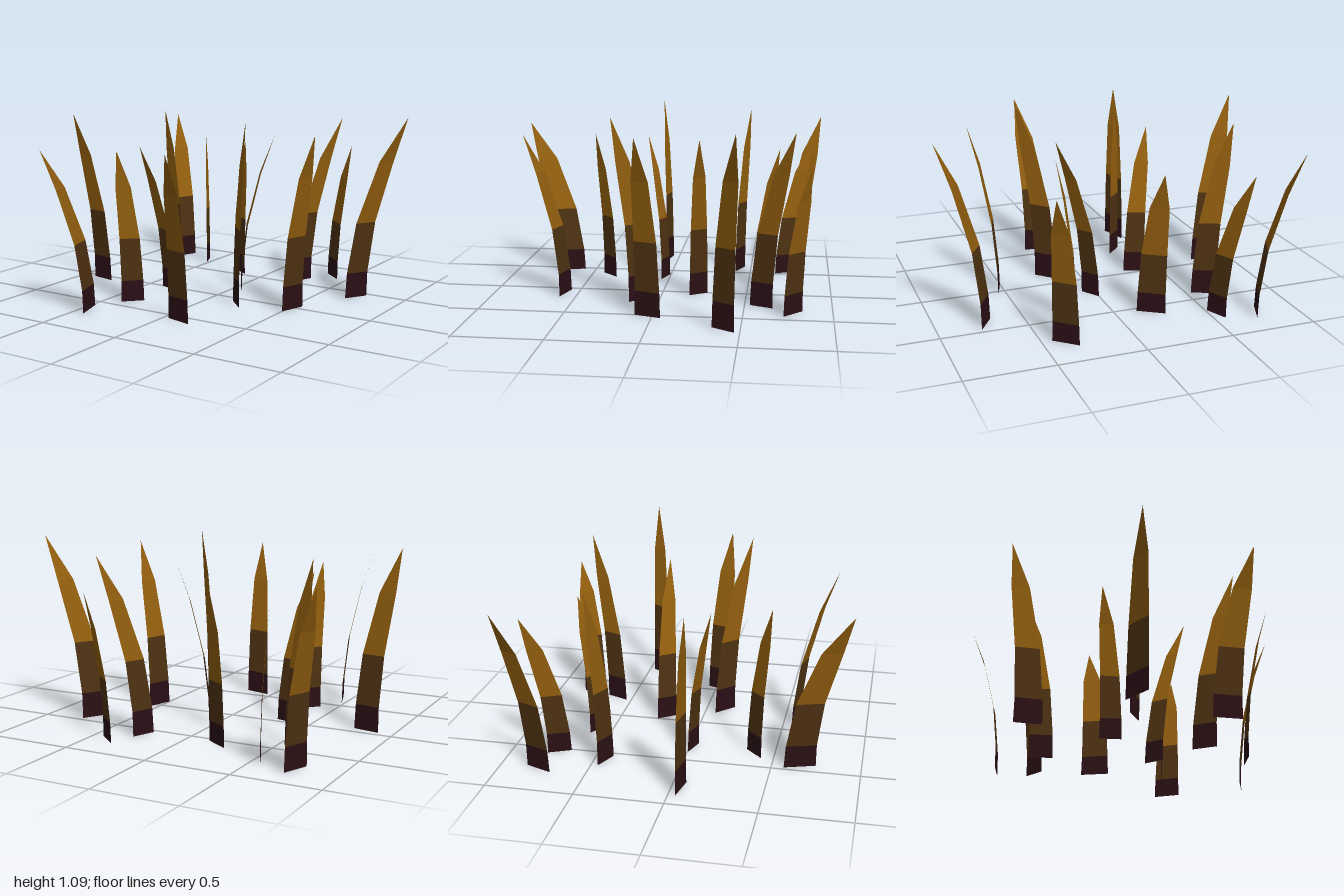
import * as THREE from 'three';

const material = (name, color) => {
  const m = new THREE.MeshStandardMaterial({ color, side: THREE.DoubleSide, flatShading: true });
  m.name = name;
  return m;
};

// Rows of a blade: share of the height, share of the base width
const ROWS = [[0, 1], [0.138, 0.96], [0.42, 0.88], [0.76, 0.66], [1, 0]];

// One flat blade: base edge from a to b (x, z), bending outward to the tip
function bladeGeometry([ax, az, bx, bz, tipX, tipZ, height]) {
  const cx = (ax + bx) / 2, cz = (az + bz) / 2;
  const rows = ROWS.map(([t, w]) => {
    const x = cx + (tipX - cx) * t * t, z = cz + (tipZ - cz) * t * t;
    const dx = (bx - ax) / 2 * w, dz = (bz - az) / 2 * w;
    return [[x - dx, t * height, z - dz], [x + dx, t * height, z + dz]];
  });
  const points = [];
  for (let i = 0; i < 4; i++) {
    const [a, b] = rows[i], [d, c] = rows[i + 1];
    points.push(...a, ...b, ...c);
    if (i < 3) points.push(...a, ...c, ...d);
  }
  const geometry = new THREE.BufferGeometry();
  geometry.setAttribute('position', new THREE.Float32BufferAttribute(points, 3));
  geometry.computeVertexNormals();
  // Root band, middle band, upper leaf with the tip
  geometry.addGroup(0, 6, 0);
  geometry.addGroup(6, 6, 1);
  geometry.addGroup(12, 9, 2);
  return geometry;
}

// Base edge ax, az, bx, bz, then tip x, z and height
const BLADES = [
  [-0.91, 0.04, -0.755, 0.07, -1.0, 0.115, 1.05],
  [-0.79, -0.70, -0.73, -0.85, -0.93, -0.935, 0.965],
  [-0.66, -0.46, -0.53, -0.403, -0.72, -0.485, 1.04],
  [-0.565, -0.785, -0.51, -0.66, -0.66, -0.88, 0.85],
  [-0.48, 0.57, -0.425, 0.745, -0.55, 0.93, 0.945],
  [-0.40, 0.005, -0.28, 0.045, -0.46, 0.15, 0.885],
  [-0.395, 0.43, -0.30, 0.335, -0.38, 0.475, 0.9],
  [-0.27, -0.62, -0.13, -0.53, -0.22, -0.68, 0.845],
  [0.03, 0.555, 0.19, 0.595, 0.185, 0.795, 0.96],
  [0.0, -0.268, 0.07, -0.165, 0.25, -0.235, 0.955],
  [0.15, 0.065, 0.255, 0.17, 0.345, 0.255, 1.085],
  [0.23, -0.53, 0.285, -0.66, 0.43, -0.775, 1.025],
  [0.32, -0.83, 0.44, -0.725, 0.455, -0.865, 0.84],
  [0.50, 0.10, 0.55, -0.05, 0.68, 0.075, 1.015],
  [0.68, -0.345, 0.76, -0.47, 0.99, -0.48, 1.085],
];

export function createModel() {
  const group = new THREE.Group();
  group.name = 'grassTuft';
  const materials = [
    material('darkRoot', 0x2a1015),
    material('darkBrown', 0x4e3212),
    material('goldenBrown', 0x94600f),
  ];
  BLADES.forEach((blade, i) => {
    const mesh = new THREE.Mesh(bladeGeometry(blade), materials);
    mesh.name = `grassBlade${i + 1}`;
    group.add(mesh);
  });
  return group;
}
